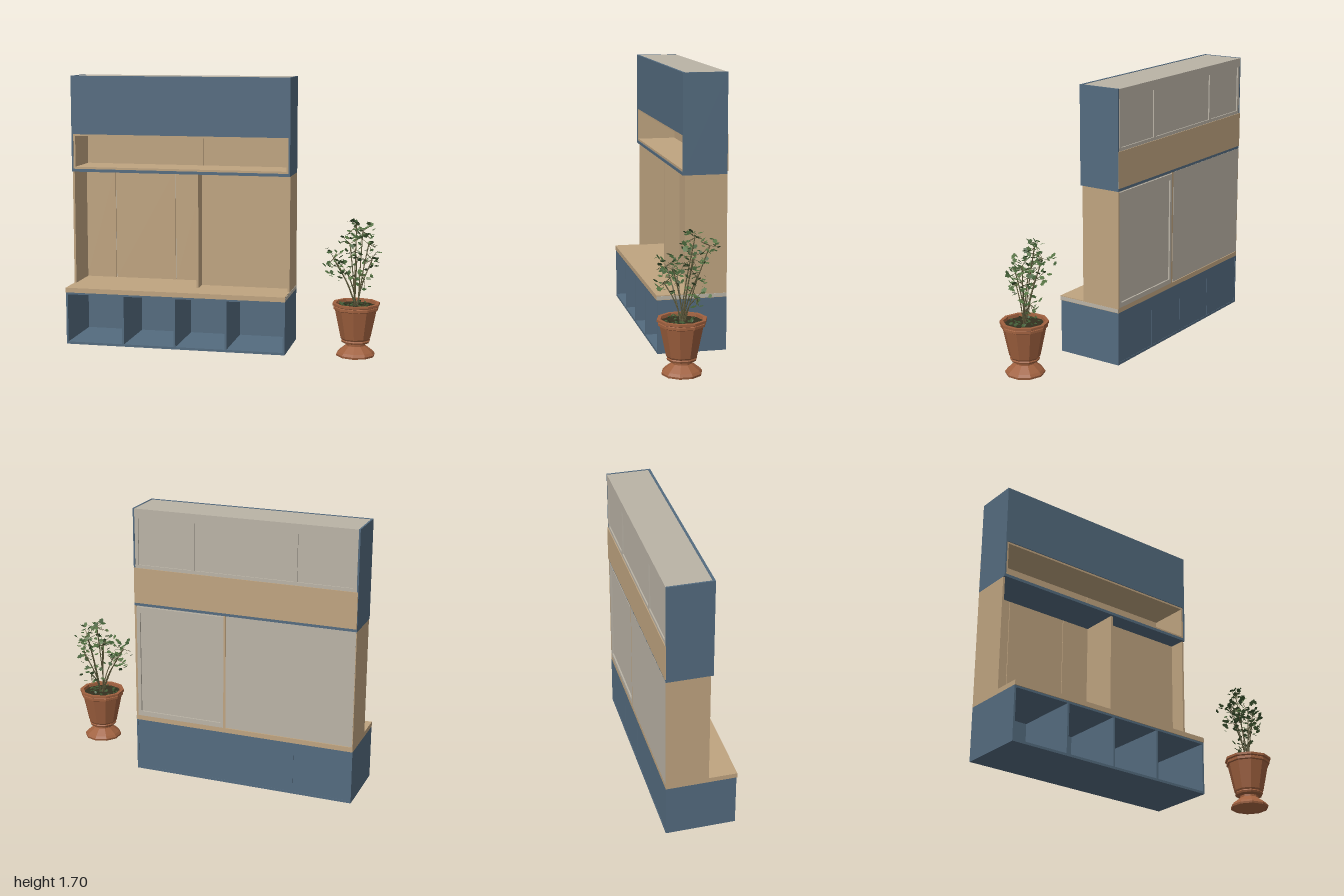
import * as THREE from 'three';
import { mergeGeometries } from 'three/addons/utils/BufferGeometryUtils.js';

const material = (name, color, extra = {}) => {
  const m = new THREE.MeshStandardMaterial({ color, ...extra });
  m.name = name;
  return m;
};

export function createModel() {
  const blue = material('blue paint', 0x546b7f);
  const wood = material('light wood', 0xbfa480);
  const grey = material('grey board', 0xbab3a6);
  const clay = material('terracotta', 0xa0613f);
  const earth = material('soil', 0x33301f);
  const bark = material('stem', 0x5e5a3c);
  const leafGreens = [
    material('leaf green', 0x557243, { side: THREE.DoubleSide }),
    material('dark leaf green', 0x3f5a33, { side: THREE.DoubleSide }),
  ];
  const model = new THREE.Group();
  model.name = 'hallStandAndPlant';

  const group = (name) => {
    const g = new THREE.Group();
    g.name = name;
    model.add(g);
    return g;
  };
  const add = (parent, name, geometry, mat) => {
    const mesh = new THREE.Mesh(geometry, mat);
    mesh.name = name;
    parent.add(mesh);
    return mesh;
  };
  // Box given by its extents on each axis
  const slab = (parent, name, mat, x0, x1, y0, y1, z0, z1) =>
    add(parent, name, new THREE.BoxGeometry(x1 - x0, y1 - y0, z1 - z0), mat)
      .position.set((x0 + x1) / 2, (y0 + y1) / 2, (z0 + z1) / 2);

  const L = -1, R = 0.412, B = -0.27;

  // Base with four open cubbies
  const base = group('base');
  slab(base, 'baseFloor', blue, L, R, 0, 0.015, B, 0.16);
  slab(base, 'baseTop', blue, L, R, 0.322, 0.335, B, 0.16);
  const posts = [-0.994, -0.625, -0.29, 0.038, 0.406];
  posts.forEach((x) => slab(base, 'cubbyDivider', blue, x - 0.006, x + 0.006, 0.015, 0.322, B, 0.16));
  for (let i = 0; i < 4; i++) {
    slab(base, 'cubbyBack', blue, posts[i] + 0.006, posts[i + 1] - 0.006, 0.015, 0.322, B + 0.002, -0.255);
  }

  // Bench seat
  const bench = group('bench');
  slab(bench, 'benchSeat', wood, L, R, 0.335, 0.365, B, 0.165);
  slab(bench, 'benchEnd', grey, R, R + 0.002, 0.338, 0.36, B, 0.165);

  // Middle section: deep bay on one side, shallow bay on the other
  const middle = group('middle');
  const y0 = 0.365, y1 = 1.09;
  slab(middle, 'rightSide', wood, L, L + 0.013, y0, y1, B, -0.01);
  slab(middle, 'leftSide', wood, R - 0.013, R, y0, y1, B, -0.01);
  slab(middle, 'bayDivider', wood, -0.188, -0.174, y0, y1, B, -0.01);
  [[-0.987, -0.79], [-0.786, -0.385], [-0.381, -0.188]].forEach(([a, b]) =>
    slab(middle, 'backBoard', wood, a, b, y0, y1, -0.262, -0.252));
  slab(middle, 'deepBayBack', grey, L + 0.004, -0.19, y0 + 0.004, y1, B - 0.001, -0.26);
  slab(middle, 'shallowBayBoard', wood, -0.174, R - 0.013, y0, y1, -0.125, -0.11);
  slab(middle, 'shallowBayBack', grey, -0.174, R - 0.013, y0, y1, -0.26, -0.25);
  slab(middle, 'backTopRail', grey, -0.174, R - 0.013, 1.045, y1 - 0.008, B, -0.26);
  slab(middle, 'backBottomRail', grey, -0.174, R - 0.013, y0, 0.395, B, -0.26);
  slab(middle, 'backStile', grey, -0.174, -0.155, y0, 1.045, B, -0.26);
  slab(middle, 'backStile', grey, R - 0.035, R - 0.013, y0, 1.045, B, -0.26);

  // Upper cabinet
  const upper = group('upperCabinet');
  slab(upper, 'cabinetSide', blue, L, L + 0.01, 1.09, 1.7, B, 0.005);
  slab(upper, 'cabinetSide', blue, R - 0.01, R, 1.09, 1.7, B, 0.005);
  slab(upper, 'cabinetFloor', blue, L + 0.01, R - 0.01, 1.09, 1.108, B, 0.005);
  slab(upper, 'cabinetFront', blue, L + 0.01, R - 0.01, 1.33, 1.7, -0.01, 0.005);
  slab(upper, 'cabinetTop', grey, L + 0.01, R - 0.01, 1.685, 1.698, B, -0.01);
  slab(upper, 'cabinetBack', grey, L + 0.01, R - 0.01, 1.33, 1.685, -0.262, -0.25);
  slab(upper, 'backTopRail', grey, L + 0.01, R - 0.01, 1.64, 1.685, B, -0.262);
  slab(upper, 'backBottomRail', grey, L + 0.01, R - 0.01, 1.33, 1.35, B, -0.262);
  [-0.978, -0.62, 0.025, 0.39].forEach((x) =>
    slab(upper, 'backStile', grey, x - 0.011, x + 0.011, 1.35, 1.64, B, -0.262));

  // Wood lined open shelf
  const shelf = group('openShelf');
  slab(shelf, 'shelfFloor', wood, L + 0.01, R - 0.01, 1.108, 1.121, B, 0);
  slab(shelf, 'shelfCeiling', wood, L + 0.01, R - 0.01, 1.318, 1.33, B, 0);
  slab(shelf, 'shelfSide', wood, L + 0.01, L + 0.023, 1.121, 1.318, B, 0);
  slab(shelf, 'shelfSide', wood, R - 0.023, R - 0.01, 1.121, 1.318, B, 0);
  slab(shelf, 'shelfBack', wood, L + 0.023, -0.197, 1.121, 1.318, -0.268, -0.255);
  slab(shelf, 'shelfBack', wood, -0.193, R - 0.023, 1.121, 1.318, -0.268, -0.255);
  slab(shelf, 'shelfRearPanel', wood, L + 0.002, R - 0.002, 1.108, 1.33, -0.275, -0.268);

  // Faceted pot with a hollow flared foot
  const plant = group('pottedPlant');
  const profile = [
    [0, 0.085], [0.045, 0.08], [0.105, 0.018], [0.118, 0.013], [0.12, 0.025], [0.108, 0.04],
    [0.06, 0.078], [0.06, 0.09], [0.085, 0.097], [0.09, 0.108], [0.086, 0.115], [0.093, 0.125],
    [0.13, 0.3], [0.14, 0.305], [0.14, 0.32], [0.136, 0.323], [0.147, 0.328], [0.147, 0.342],
    [0.125, 0.342], [0.12, 0.3],
  ].map(([r, y]) => new THREE.Vector2(r, y));
  const potGeometry = new THREE.LatheGeometry(profile, 10).toNonIndexed();
  potGeometry.computeVertexNormals();
  add(plant, 'pot', potGeometry, clay).position.set(0.843, 0, 0.107);
  add(plant, 'soil', new THREE.CylinderGeometry(0.123, 0.12, 0.01, 10), earth).position.set(0.843, 0.318, 0.107);

  // Seeded number between -1 and 1
  let seed = 7;
  const rand = () => {
    seed = (seed * 16807) % 2147483647;
    return (seed / 2147483647) * 2 - 1;
  };

  // Lobed leaf lying flat with its stalk at the origin
  const lobes = [];
  for (let i = 0; i < 12; i++) {
    const a = -Math.PI / 2 + (i / 12) * Math.PI * 2;
    const r = i % 2 ? 1 : 0.72;
    lobes.push(new THREE.Vector2(Math.cos(a) * r * 0.85, Math.sin(a) * r + 0.7));
  }
  const leaf = new THREE.ShapeGeometry(new THREE.Shape(lobes)).rotateX(-Math.PI / 2);

  // Branches ending in leaf clusters
  const clusters = [
    [0.83, 0.805, 0.03], [0.86, 0.76, -0.05], [0.79, 0.69, 0.02], [0.71, 0.62, 0.17], [0.93, 0.6, 0.04],
    [0.80, 0.54, 0.2], [0.88, 0.47, 0.03], [0.91, 0.7, 0.06], [0.73, 0.56, 0.11], [0.85, 0.63, 0.16],
  ];
  const stems = [], leaves = [[], []];
  const dummy = new THREE.Object3D();
  const placeLeaf = (p, size, shade) => {
    dummy.position.copy(p);
    dummy.rotation.set(0.35 + rand() * 0.6, rand() * Math.PI, rand() * 0.5, 'YXZ');
    dummy.scale.setScalar(size);
    dummy.updateMatrix();
    leaves[shade].push(leaf.clone().applyMatrix4(dummy.matrix));
  };
  const stalk = (points, radius, steps) =>
    stems.push(new THREE.TubeGeometry(new THREE.CatmullRomCurve3(points), steps, radius, 5));
  clusters.forEach((c, i) => {
    const tip = new THREE.Vector3(...c);
    const root = new THREE.Vector3(0.843 + rand() * 0.012, 0.315, 0.107 + rand() * 0.012);
    const mid = root.clone().lerp(tip, 0.45);
    mid.y += 0.03;
    stalk([root, mid, tip], 0.0035, 8);
    for (let k = 0; k < 17; k++) {
      const p = tip.clone().add(new THREE.Vector3(rand() * 0.065, rand() * 0.055, rand() * 0.065));
      p.x = THREE.MathUtils.clamp(p.x, 0.665, 0.965);
      p.z = THREE.MathUtils.clamp(p.z, -0.09, 0.235);
      p.y = Math.min(p.y, 0.83);
      if (k % 3 === 0) stalk([tip, p], 0.0014, 1);
      placeLeaf(p, 0.0175 + rand() * 0.004, (k + i) % 2);
    }
  });
  // Low leaves covering the soil
  for (let k = 0; k < 45; k++) {
    const a = rand() * Math.PI, r = 0.095 * Math.sqrt(Math.abs(rand()));
    placeLeaf(new THREE.Vector3(0.843 + Math.cos(a) * r, 0.333, 0.107 + Math.sin(a) * r), 0.011, 1);
  }
  add(plant, 'stems', mergeGeometries(stems), bark);
  leaves.forEach((set, i) => add(plant, i ? 'darkLeaves' : 'leaves', mergeGeometries(set), leafGreens[i]));

  return model;
}
